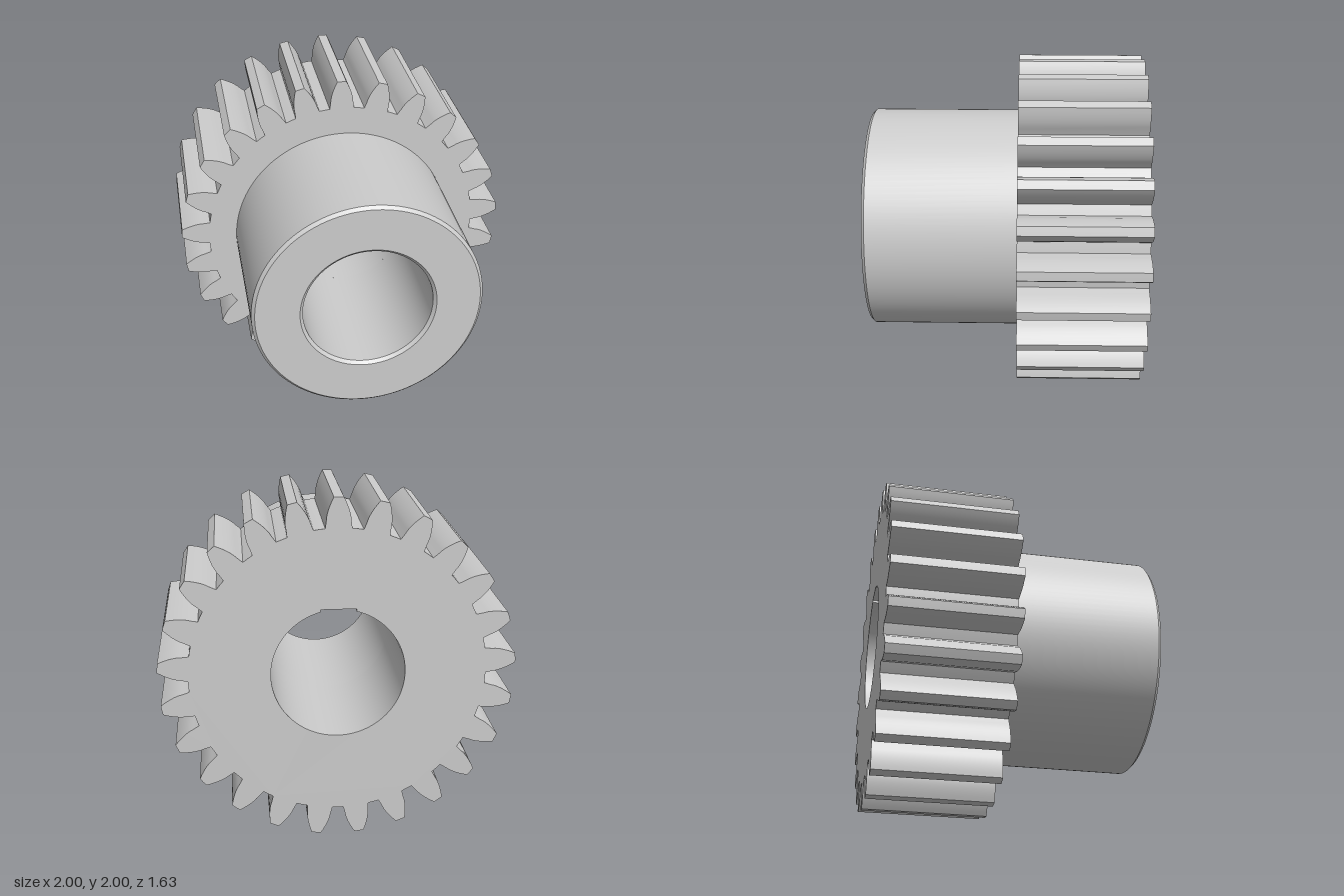
import * as THREE from 'three';
import { toCreasedNormals } from 'three/addons/utils/BufferGeometryUtils.js';

const TEETH = 25;
const TIP = 1.0, ROOT = 0.832;          // gear radii
const PITCH = 0.926, BASE = 0.87;       // pitch and involute base radii
const BACK = -0.815, STEP = -0.075, FRONT = 0.815;
const HUB = 0.665, BORE = 0.375, CHAMFER = 0.018;
const KEY_HALF = 0.1, KEY_TOP = 0.376;  // shallow keyway in the toothed part of the bore
const SEGMENTS = 120;

// Half angle of a tooth with involute flanks at radius r
function halfAngle(r) {
  const inv = (q) => {
    const a = Math.acos(Math.min(1, BASE / q));
    return Math.tan(a) - a;
  };
  return Math.PI / (2 * TEETH) + inv(PITCH) - inv(r);
}

const polar = (r, a) => new THREE.Vector2(r * Math.sin(a), r * Math.cos(a));

function gearGeometry() {
  // One flank from root to tip, as [radius, half angle]
  const flank = [[ROOT, 0.088]];
  for (let i = 0; i <= 6; i++) {
    const r = BASE + ((TIP - BASE) * i) / 6;
    flank.push([r, halfAngle(r)]);
  }
  const outline = [];
  for (let t = 0; t < TEETH; t++) {
    const c = (t / TEETH) * Math.PI * 2;
    flank.forEach(([r, h]) => outline.push(polar(r, c - h)));
    outline.push(polar(TIP, c));
    [...flank].reverse().forEach(([r, h]) => outline.push(polar(r, c + h)));
    outline.push(polar(ROOT, c + Math.PI / TEETH));
  }
  const shape = new THREE.Shape(outline);

  // Bore, running counter-clockwise from one side of the keyway to the other
  const start = Math.asin(KEY_HALF / BORE);
  const hole = [new THREE.Vector2(KEY_HALF, KEY_TOP), new THREE.Vector2(-KEY_HALF, KEY_TOP)];
  for (let i = 0; i <= SEGMENTS; i++) {
    hole.push(polar(BORE, -start - (i / SEGMENTS) * 2 * (Math.PI - start)));
  }
  shape.holes.push(new THREE.Path(hole));

  const geo = new THREE.ExtrudeGeometry(shape, { depth: STEP - BACK, bevelEnabled: false });
  geo.translate(0, 0, BACK);
  return toCreasedNormals(geo, 0.2);
}

function hubGeometry() {
  // Outer wall, front chamfers, inner wall and the ring that ends the keyway
  const profile = [
    [HUB, STEP], [HUB, FRONT - CHAMFER], [HUB - CHAMFER, FRONT],
    [BORE + CHAMFER, FRONT], [BORE, FRONT - CHAMFER], [BORE, STEP], [HUB, STEP],
  ].map(([r, z]) => new THREE.Vector2(r, z));
  const geo = new THREE.LatheGeometry(profile, SEGMENTS);
  geo.rotateX(Math.PI / 2);
  return toCreasedNormals(geo, 0.2);
}

export function createModel() {
  const group = new THREE.Group();
  group.name = 'spurGear';
  const material = new THREE.MeshStandardMaterial({ color: 0xcccccc });

  const add = (name, geometry) => {
    const mesh = new THREE.Mesh(geometry, material);
    mesh.name = name;
    // The lowest point lies on the tips of the two bottom teeth
    mesh.position.y = TIP * Math.cos(Math.PI / TEETH - halfAngle(TIP));
    group.add(mesh);
  };
  add('toothedWheel', gearGeometry());
  add('hub', hubGeometry());
  return group;
}
